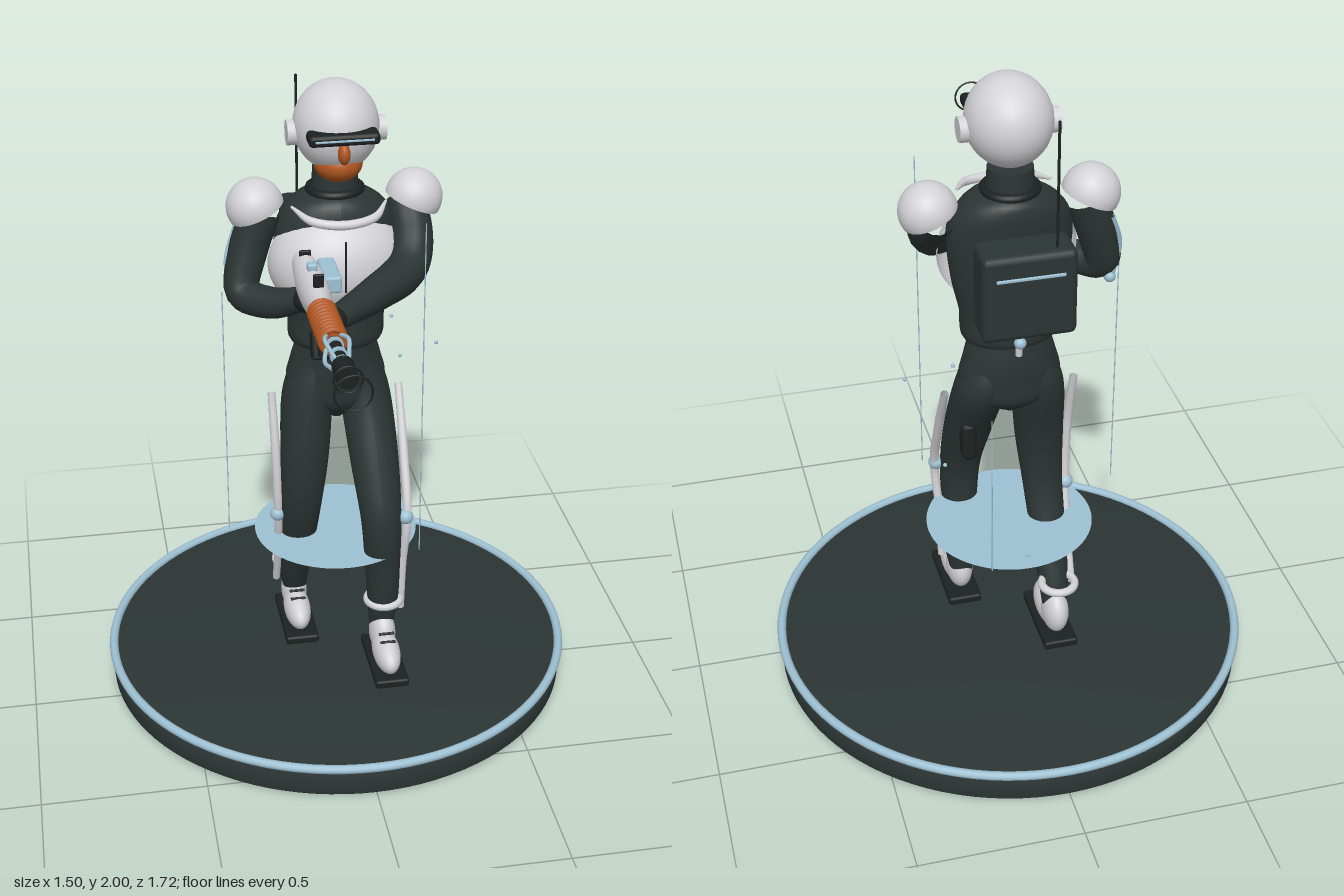
import * as THREE from 'three';
import { RoundedBoxGeometry } from 'three/addons/geometries/RoundedBoxGeometry.js';

const mat = (name, color, side = THREE.FrontSide) => {
  const m = new THREE.MeshStandardMaterial({ color, side });
  m.name = name;
  return m;
};
const V = (a) => new THREE.Vector3(...a);

export function createModel() {
  const suit = mat('dark suit', 0x2b3533);
  const black = mat('black', 0x1c2221);
  const white = mat('white armour', 0xd3d2d7, THREE.DoubleSide);
  const blue = mat('pale blue', 0x9dc0d2, THREE.DoubleSide);
  const orange = mat('copper skin', 0xb2561f);

  const model = new THREE.Group();
  const add = (name, geo, m, p = [0, 0, 0], rot = [0, 0, 0], s = [1, 1, 1], parent = model) => {
    const mesh = new THREE.Mesh(geo, m);
    mesh.name = name;
    mesh.position.set(...p);
    mesh.rotation.set(...rot);
    mesh.scale.set(...s);
    parent.add(mesh);
    return mesh;
  };
  const ball = (name, m, p, s, rot) => add(name, new THREE.SphereGeometry(1, 32, 20), m, p, rot, s);
  const box = (name, m, p, s, rot, r = 0.008) =>
    add(name, new RoundedBoxGeometry(...s, 2, Math.min(r, Math.min(...s) * 0.4)), m, p, rot);
  const rod = (name, m, p, r, h, rot, r2 = r) => add(name, new THREE.CylinderGeometry(r2, r, h, 24), m, p, rot);

  // Horizontal oval rings [x, y, z, rx, rz], bottom to top
  const loft = (name, m, rings) => {
    const centre = new THREE.CatmullRomCurve3(rings.map(([x, y, z]) => V([x, y, z])), false, 'catmullrom');
    const size = new THREE.CatmullRomCurve3(rings.map((r) => V([r[3], 0, r[4]])), false, 'catmullrom');
    const n = rings.length * 5;
    const geo = new THREE.LatheGeometry(
      Array.from({ length: n + 1 }, (_, i) => new THREE.Vector2(1, i / n)), 32);
    const pos = geo.attributes.position;
    for (let i = 0; i < pos.count; i++) {
      const t = Math.min(1, Math.max(0, pos.getY(i)));
      const c = centre.getPoint(t), s = size.getPoint(t);
      pos.setXYZ(i, c.x + pos.getX(i) * s.x, c.y, c.z + pos.getZ(i) * s.z);
    }
    geo.computeVertexNormals();
    return add(name, geo, m);
  };

  // Tube whose radius follows a list along its length
  const limb = (name, m, pts, radii, seg = 30) => {
    const curve = new THREE.CatmullRomCurve3(pts.map(V));
    const geo = new THREE.TubeGeometry(curve, seg, 1, 16);
    const pos = geo.attributes.position, v = new THREE.Vector3();
    for (let i = 0; i < pos.count; i++) {
      const u = Math.floor(i / 17) / seg, c = curve.getPointAt(u);
      const f = u * (radii.length - 1), k = Math.min(radii.length - 2, Math.floor(f));
      const r = radii.length > 1 ? THREE.MathUtils.lerp(radii[k], radii[k + 1], f - k) : radii[0];
      v.fromBufferAttribute(pos, i).sub(c).multiplyScalar(r).add(c);
      pos.setXYZ(i, v.x, v.y, v.z);
    }
    return add(name, geo, m);
  };

  // Round stand with rim and floating disc
  add('standBase', new THREE.LatheGeometry([[0, 0], [0.725, 0], [0.737, 0.012], [0.737, 0.1], [0, 0.1]]
    .map((p) => new THREE.Vector2(...p)), 96), suit, [0, 0, -0.11]);
  add('standRim', new THREE.TorusGeometry(0.735, 0.014, 12, 96), blue, [0, 0.102, -0.11], [Math.PI / 2, 0, 0]);
  add('floatingDisc', new THREE.CircleGeometry(0.26, 64), blue, [0, 0.5, -0.12], [-Math.PI / 2, 0, 0]);

  // Hips, torso and neck
  loft('hips', suit, [[0, 0.92, -0.11, 0.02, 0.03], [0, 0.98, -0.115, 0.13, 0.09], [0, 1.05, -0.115, 0.155, 0.1],
    [0, 1.12, -0.115, 0.14, 0.102], [0, 1.19, -0.11, 0.12, 0.098]]);
  loft('torso', suit, [[0, 1.175, -0.11, 0.02, 0.02], [0, 1.182, -0.11, 0.135, 0.1], [0, 1.28, -0.11, 0.15, 0.102],
    [0, 1.4, -0.11, 0.175, 0.107], [0, 1.54, -0.11, 0.185, 0.112], [0, 1.62, -0.115, 0.15, 0.11],
    [0, 1.66, -0.12, 0.085, 0.085], [0, 1.67, -0.12, 0.01, 0.01]]);
  rod('neck', suit, [0, 1.69, -0.12], 0.072, 0.09, undefined, 0.066);
  add('neckRing', new THREE.TorusGeometry(0.075, 0.014, 10, 32), black, [0, 1.665, -0.12], [Math.PI / 2, 0, 0]);
  add('chestPlate', new THREE.SphereGeometry(1, 32, 24, 0, Math.PI, 0.25, 2.25), white, [0, 1.45, -0.09], undefined,
    [0.208, 0.175, 0.165]);
  limb('collarPiece', white, [[-0.14, 1.64, -0.05], [-0.09, 1.622, 0.03], [0, 1.615, 0.055], [0.09, 1.622, 0.03],
    [0.14, 1.64, -0.05]], [0.004, 0.013, 0.014, 0.013, 0.004]);
  box('chestSeam', black, [0, 1.49, 0.072], [0.006, 0.16, 0.009]);
  box('beltSeam', black, [0, 1.26, 0.012], [0.008, 0.15, 0.009]);

  // Helmeted head
  ball('helmet', white, [0, 1.866, -0.1], [0.126, 0.134, 0.14]);
  ball('chin', orange, [0, 1.765, -0.065], [0.072, 0.055, 0.08]);
  ball('nose', orange, [0, 1.826, 0.04], [0.018, 0.032, 0.025]);
  box('visor', black, [0, 1.871, 0.025], [0.205, 0.034, 0.07], undefined, 0.012);
  box('visorGlow', blue, [0, 1.871, 0.059], [0.17, 0.007, 0.006]);

  // Backpack, antenna and spine brace
  box('backpack', suit, [0, 1.435, -0.29], [0.275, 0.27, 0.13], undefined, 0.02);
  box('backpackStripe', blue, [0, 1.5, -0.356], [0.2, 0.01, 0.008]);
  rod('antenna', black, [-0.083, 1.75, -0.32], 0.004, 0.4);
  limb('spineBrace', white, [[0, 1.17, -0.225], [0, 1.3, -0.235], [0, 1.5, -0.23]], [0.01, 0.013, 0.013]);
  ball('spineJoint', blue, [0, 1.22, -0.24], [0.018, 0.018, 0.018]);

  // Paired parts; side +1 is the model's left
  for (const side of [1, -1]) {
    rod('earCap', white, [side * 0.13, 1.85, -0.1], 0.037, 0.03, [0, 0, Math.PI / 2]);
    add('shoulderPad', new THREE.SphereGeometry(0.086, 32, 20, 0, Math.PI * 2, 0, Math.PI * 0.56), white,
      [side * 0.238, 1.622, -0.12], [0, 0, -side * 0.4]);
    const left = side > 0;
    const z = (a, b) => (left ? a : b);
    loft('leg', suit, [
      [side * 0.12, 0.2, z(0.04, -0.235), 0.036, 0.038], [side * 0.125, 0.3, z(0.047, -0.195), 0.048, 0.05],
      [side * 0.122, 0.45, z(0.052, -0.135), 0.056, 0.054], [side * 0.116, 0.62, z(0.052, -0.08), 0.064, 0.06],
      [side * 0.105, 0.8, z(-0.015, -0.075), 0.076, 0.074], [side * 0.09, 1.0, -0.108, 0.078, 0.094],
      [side * 0.07, 1.12, -0.112, 0.055, 0.08]]);
    limb('legBrace', white, left
      ? [[0.2, 1, -0.12], [0.2, 0.8, -0.015], [0.198, 0.62, 0.062], [0.188, 0.45, 0.05], [0.185, 0.27, 0.04]]
      : [[-0.2, 1, -0.12], [-0.195, 0.8, -0.08], [-0.19, 0.585, -0.085], [-0.185, 0.42, -0.14], [-0.185, 0.27, -0.2]],
    [0.012, 0.014, 0.014, 0.013, 0.012]);
    ball('kneeJoint', blue, [side * 0.192, z(0.622, 0.585), z(0.065, -0.085)], [0.024, 0.024, 0.024]);
    add('ankleCuff', new THREE.TorusGeometry(0.052, 0.013, 12, 32), white, [side * 0.128, 0.31, z(0.045, -0.245)],
      [Math.PI / 2, 0, 0]);
    // Shoe flattened at the sole, on a thin pad
    const shoeZ = z(0.115, -0.18);
    for (const [y, dz, s] of [[0.165, 0.015, [0.043, 0.055, 0.105]], [0.195, -0.055, [0.042, 0.075, 0.065]]]) {
      const geo = new THREE.SphereGeometry(1, 32, 20).scale(...s);
      const pos = geo.attributes.position;
      for (let i = 0; i < pos.count; i++) pos.setY(i, Math.max(pos.getY(i), 0.128 - y));
      geo.computeVertexNormals();
      add('shoe', geo, white, [side * 0.122, y, shoeZ + dz]);
    }
    for (const k of [0, 1])
      box('lace', black, [side * 0.122, 0.232 - k * 0.015, shoeZ + 0.018 + k * 0.025], [0.05, 0.006, 0.009], [0.5, 0, 0]);
    box('footPad', black, [side * 0.122, 0.114, z(0.108, -0.18)], [0.108, 0.028, 0.275]);
  }
  box('thighPouch', black, [0.125, 0.815, -0.105], [0.05, 0.13, 0.06], [0.1, 0, 0], 0.02);

  // Arms and hands
  limb('leftArm', suit, [[0.215, 1.61, -0.13], [0.22, 1.53, -0.05], [0.19, 1.46, 0.03], [0.07, 1.435, 0.15],
    [-0.06, 1.42, 0.26]], [0.06, 0.064, 0.06, 0.05, 0.036]);
  ball('leftHand', black, [-0.075, 1.425, 0.275], [0.042, 0.036, 0.045]);
  box('armBand', orange, [0.243, 1.57, -0.05], [0.03, 0.03, 0.04]);
  limb('rightArm', suit, [[-0.22, 1.61, -0.12], [-0.265, 1.48, -0.11], [-0.285, 1.37, -0.08], [-0.21, 1.36, -0.005],
    [-0.12, 1.395, 0.06]], [0.06, 0.06, 0.054, 0.048, 0.036]);
  ball('rightHand', black, [-0.115, 1.4, 0.075], [0.042, 0.04, 0.045]);
  ball('rightElbowJoint', blue, [-0.305, 1.33, -0.115], [0.018, 0.018, 0.018]);
  limb('rightArmBrace', blue, [[-0.295, 1.55, -0.15], [-0.325, 1.45, -0.13], [-0.31, 1.33, -0.115]], [0.008, 0.009, 0.008]);

  // Rifle, pointing forward along z
  const gx = -0.12, gy = 1.495, along = [Math.PI / 2, 0, 0];
  const body = limb('rifleBody', white, [[0, 0, -0.04], [0, 0, 0.2], [0, 0, 0.4]],
    [0.001, 0.03, 0.036, 0.041, 0.044, 0.044, 0.042, 0.036, 0.001]);
  body.position.set(gx, gy, 0);
  body.scale.set(1, 1.3, 1);
  box('sideCell', blue, [-0.062, 1.505, 0.15], [0.05, 0.05, 0.15]);
  box('rearSight', black, [gx, 1.545, 0.075], [0.035, 0.02, 0.01]);
  box('frontSight', black, [gx, 1.565, 0.315], [0.03, 0.04, 0.01]);
  box('sightBlock', blue, [gx, 1.558, 0.2], [0.03, 0.025, 0.03]);
  rod('barrel', black, [gx, gy, 0.54], 0.018, 0.36, along);
  for (let i = 0; i < 10; i++)
    add('coilRing', new THREE.TorusGeometry(0.034, 0.0085, 8, 28), orange, [gx, gy, 0.37 + i * 0.0205]);
  rod('coilCore', orange, [gx, gy, 0.46], 0.027, 0.2, along);
  for (let i = 0; i < 4; i++) {
    const a = Math.PI / 4 + i * Math.PI / 2;
    const at = (r, z) => [gx + r * Math.cos(a), gy + r * Math.sin(a), z];
    limb('barrelProng', blue, [at(0.025, 0.55), at(0.045, 0.61), at(0.035, 0.66), at(0.02, 0.71)], [0.006, 0.006]);
  }
  for (const z of [0.58, 0.64, 0.69]) rod('barrelCollar', blue, [gx, gy, z], 0.024, 0.012, along);
  rod('muzzle', black, [gx, gy, 0.74], 0.03, 0.08, along);
  for (const [z, r] of [[0.782, 0.038], [0.858, 0.05]])
    add('muzzleRing', new THREE.TorusGeometry(r, 0.003, 6, 40), black, [gx, gy, z]);
  box('foreGrip', black, [gx, 1.405, 0.385], [0.028, 0.08, 0.03], [-0.15, 0, 0]);
  box('rifleUnderside', black, [gx, 1.442, 0.27], [0.04, 0.025, 0.26]);
  box('magazine', black, [-0.095, 1.31, 0.2], [0.06, 0.08, 0.045], [-0.3, 0, 0]);
  limb('magazineArm', black, [[-0.095, 1.43, 0.24], [-0.095, 1.33, 0.205]], [0.012, 0.012]);
  limb('powerCable', black, [[-0.1, 1.43, 0.34], [-0.06, 1.35, 0.25], [-0.04, 1.295, 0.14], [-0.04, 1.29, 0.05],
    [-0.04, 1.32, -0.02]], [0.008, 0.008]);

  // Fine hanging threads and drifting motes
  for (const [x, z, top] of [[-0.35, -0.06, 1.38], [0.215, 0.165, 1.65], [0.134, -0.435, 1.1]])
    rod('thread', blue, [x, (0.56 + top) / 2, z], 0.0018, top - 0.56);
  for (const p of [[0.05, 0.67, -0.52], [0.265, 0.95, -0.405], [0.2, 1.175, -0.24], [0.33, 1.105, -0.17]])
    ball('mote', blue, p, [0.006, 0.006, 0.006]);

  return model;
}
